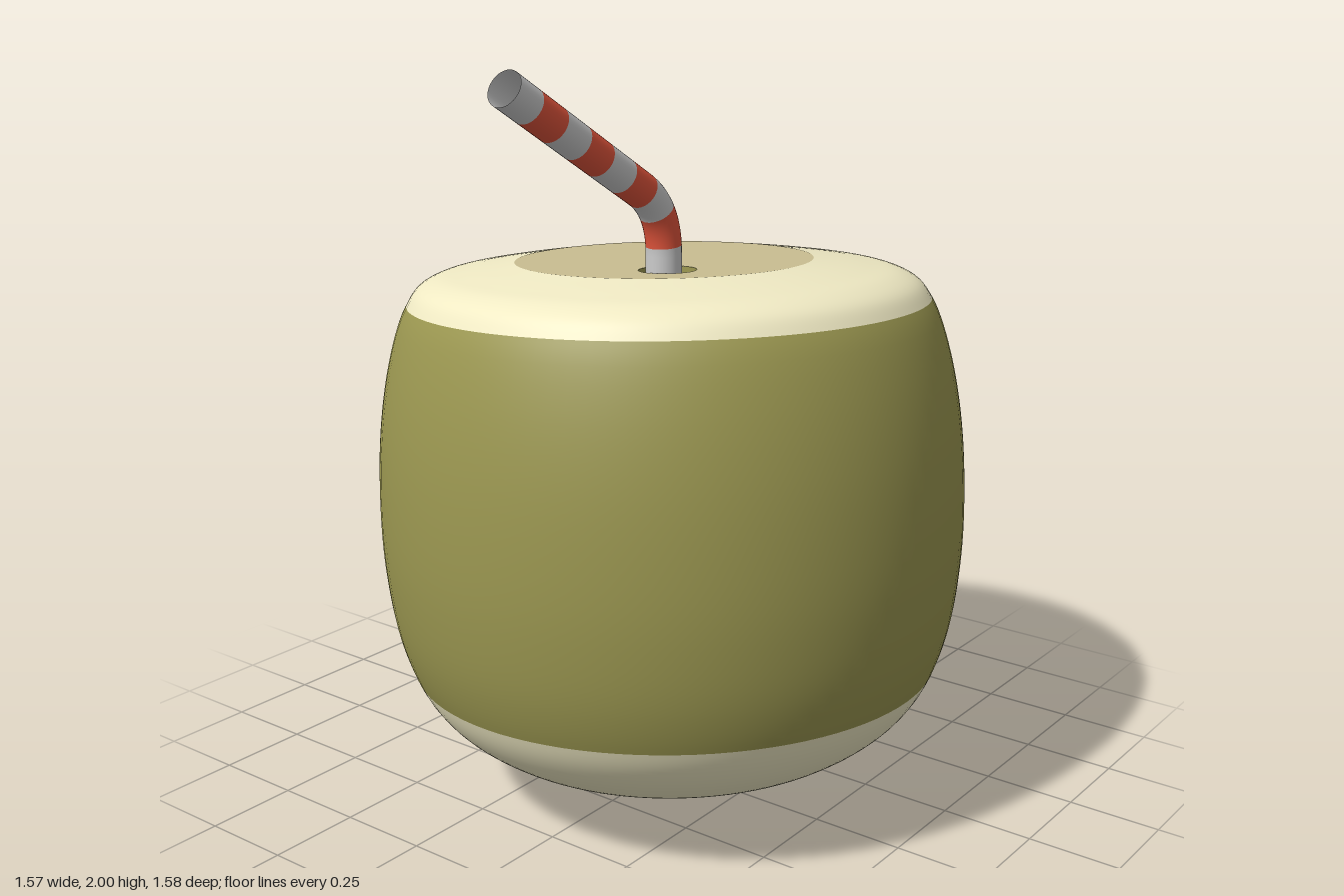
import * as THREE from 'three';

const paint = (color, side = THREE.FrontSide) => new THREE.MeshStandardMaterial({ color, side });
const OLIVE = 0x9a9650, CREAM = 0xf0eac4, TAN = 0xcabf92, RED = 0xe2553c, GREY = 0xcccccc;
const SEGMENTS = 96;

function addMesh(parent, name, geometry, material) {
  const mesh = new THREE.Mesh(geometry, material);
  mesh.name = name;
  parent.add(mesh);
  return mesh;
}

// Turned skin bands, bottom to top: [radius, height]
const PROFILE = [
  [0, 0], [0.07, 0.032], [0.28, 0.085], [0.43, 0.13], [0.51, 0.158],
  [0.61, 0.225], [0.67, 0.29], [0.71, 0.36],
  [0.75, 0.48], [0.775, 0.64], [0.783, 0.8], [0.775, 1.0], [0.75, 1.17], [0.715, 1.3], [0.69, 1.355],
  [0.66, 1.397], [0.61, 1.424], [0.53, 1.441], [0.39, 1.463],
];
const BANDS = [
  ['undersideCut', 0, 4, TAN],
  ['lowerFlesh', 4, 7, CREAM],
  ['greenHusk', 7, 14, OLIVE],
  ['upperFlesh', 14, 18, CREAM],
];
const TOP = { x: 0.018, y: 1.463, z: 0.042, radius: 0.39 };

function buildFruit() {
  const fruit = new THREE.Group();
  fruit.name = 'coconut';
  const STEPS = 6;
  const curve = new THREE.CatmullRomCurve3(PROFILE.map(([r, h]) => new THREE.Vector3(r, h, 0)), false, 'centripetal');
  const points = curve.getPoints((PROFILE.length - 1) * STEPS).map((p) => new THREE.Vector2(Math.max(p.x, 0), p.y));

  for (const [name, from, to, color] of BANDS) {
    const geometry = new THREE.LatheGeometry(points.slice(from * STEPS, to * STEPS + 1), SEGMENTS);
    if (name === 'upperFlesh') {
      // Ease the crown sideways towards the off-centre cut face
      const pos = geometry.attributes.position;
      for (let i = 0; i < pos.count; i++) {
        const r = Math.hypot(pos.getX(i), pos.getZ(i));
        const w = THREE.MathUtils.clamp((0.69 - r) / 0.3, 0, 1);
        pos.setX(i, pos.getX(i) + w * TOP.x);
        pos.setZ(i, pos.getZ(i) + w * TOP.z);
      }
    }
    addMesh(fruit, name, geometry, paint(color));
  }

  // Flat cut face with a drilled hole
  const holeX = 0.145, holeZ = 0.174, holeRadius = 0.073, depth = 0.2;
  const shape = new THREE.Shape().absarc(0, 0, TOP.radius, 0, Math.PI * 2);
  shape.holes.push(new THREE.Path().absarc(holeX, -holeZ, holeRadius, 0, Math.PI * 2, true));
  const face = addMesh(fruit, 'cutFace', new THREE.ShapeGeometry(shape, SEGMENTS / 2).rotateX(-Math.PI / 2), paint(TAN));
  face.position.set(TOP.x, TOP.y, TOP.z);

  const wall = addMesh(fruit, 'holeWall',
    new THREE.CylinderGeometry(holeRadius, holeRadius, depth, 48, 1, true), paint(OLIVE, THREE.BackSide));
  wall.position.set(TOP.x + holeX, TOP.y - depth / 2, TOP.z + holeZ);
  const floor = addMesh(fruit, 'holeFloor',
    new THREE.CircleGeometry(holeRadius, 48).rotateX(-Math.PI / 2), paint(CREAM));
  floor.position.set(TOP.x + holeX, TOP.y - depth, TOP.z + holeZ);

  // The whole fruit leans slightly
  fruit.quaternion.setFromUnitVectors(
    new THREE.Vector3(0, 1, 0), new THREE.Vector3(-0.049, 1, -0.037).normalize());
  fruit.position.set(0.045, 0, 0.018);
  return fruit;
}

// Bent drinking straw made of alternating stripes
function buildStraw() {
  const straw = new THREE.Group();
  straw.name = 'straw';
  const x = 0.14, radius = 0.045;
  const v = (y, z) => new THREE.Vector3(x, y, z);
  const path = new THREE.CurvePath();
  path.add(new THREE.LineCurve3(v(1.3, 0.2), v(1.52, 0.2)));
  path.add(new THREE.QuadraticBezierCurve3(v(1.52, 0.2), v(1.635, 0.2), v(1.69, 0.295)));
  path.add(new THREE.LineCurve3(v(1.69, 0.295), v(1.961, 0.763)));
  const length = path.getLength();

  // Stripe borders, measured from the open end
  const borders = [0, 0.085, 0.18, 0.272, 0.365, 0.46, 0.55, 0.63, 0.725, length];
  for (let i = 0; i < borders.length - 1; i++) {
    const start = (length - borders[i + 1]) / length, end = (length - borders[i]) / length;
    const piece = new THREE.Curve();
    piece.getPoint = (t) => path.getPointAt(THREE.MathUtils.clamp(start + (end - start) * t, 0, 1));
    piece.getTangent = (t) => {
      const u = start + (end - start) * t;
      return path.getPointAt(Math.min(u + 0.002, 1)).sub(path.getPointAt(Math.max(u - 0.002, 0))).normalize();
    };
    addMesh(straw, i % 2 ? 'redStripe' : 'greyStripe',
      new THREE.TubeGeometry(piece, 10, radius, 32, false), paint(i % 2 ? RED : GREY, THREE.DoubleSide));
  }
  return straw;
}

export function createModel() {
  const model = new THREE.Group();
  model.name = 'coconutDrink';
  model.add(buildFruit(), buildStraw());
  return model;
}
